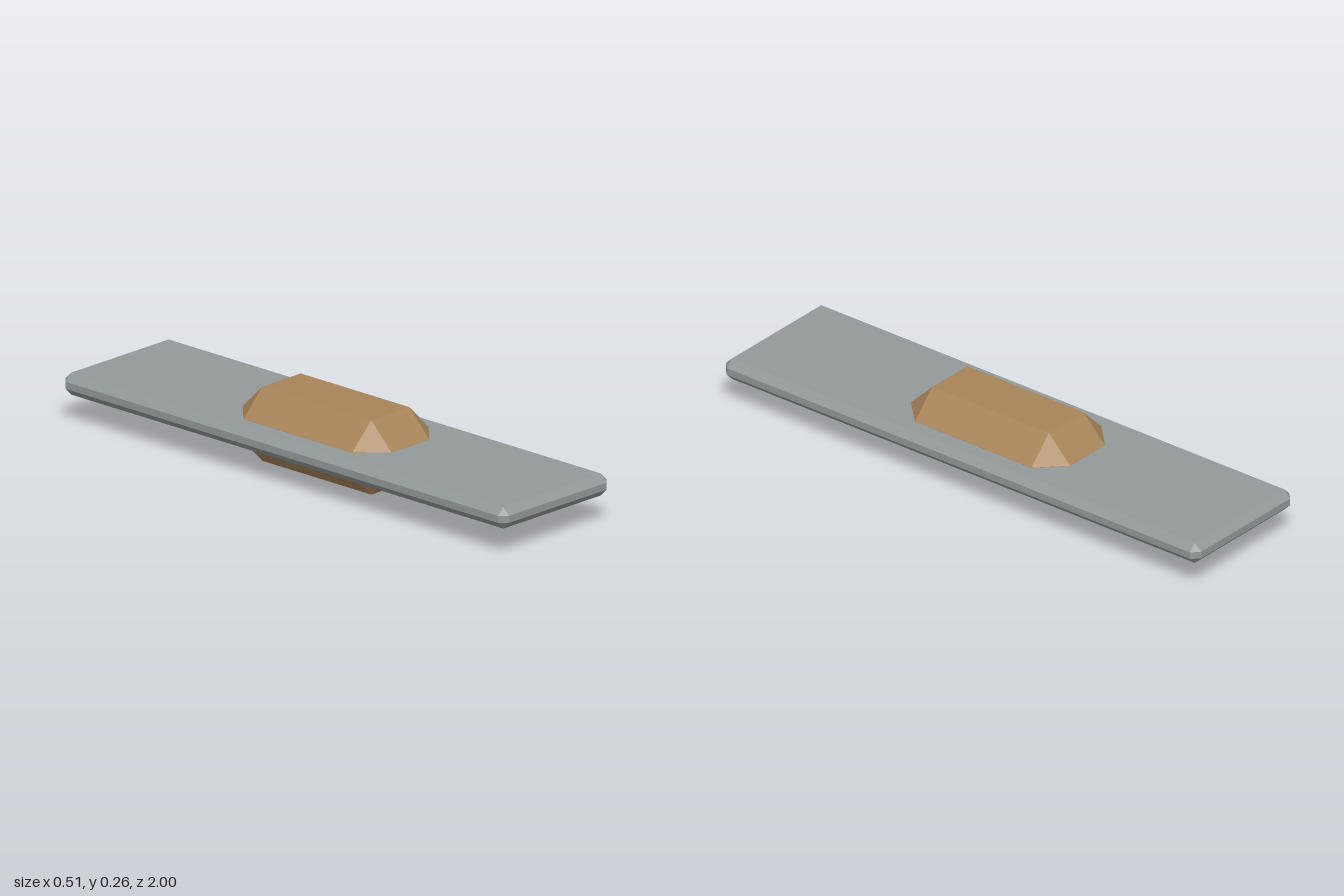
import * as THREE from 'three';
import { ConvexGeometry } from 'three/addons/geometries/ConvexGeometry.js';

// Box with every edge chamfered by c; hx, hy, hz are half sizes
function chamferBox(hx, hy, hz, c) {
  const points = [];
  for (const sx of [-1, 1]) for (const sy of [-1, 1]) for (const sz of [-1, 1]) {
    points.push(
      new THREE.Vector3(sx * hx, sy * (hy - c), sz * (hz - c)),
      new THREE.Vector3(sx * (hx - c), sy * hy, sz * (hz - c)),
      new THREE.Vector3(sx * (hx - c), sy * (hy - c), sz * hz)
    );
  }
  return new ConvexGeometry(points);
}

export function createModel() {
  const group = new THREE.Group();
  const stone = new THREE.MeshStandardMaterial({ name: 'grey', color: 0x929a99, flatShading: true });
  const wood = new THREE.MeshStandardMaterial({ name: 'brown', color: 0xa8845a, flatShading: true });

  const add = (name, geometry, material) => {
    const mesh = new THREE.Mesh(geometry, material);
    mesh.name = name;
    mesh.position.y = 0.1285;
    group.add(mesh);
  };

  // Long thin slab
  add('slab', chamferBox(0.256, 0.0378, 1, 0.0256), stone);
  // Faceted block passing through the middle of the slab
  add('centreBlock', chamferBox(0.18, 0.1285, 0.335, 0.09), wood);

  return group;
}
